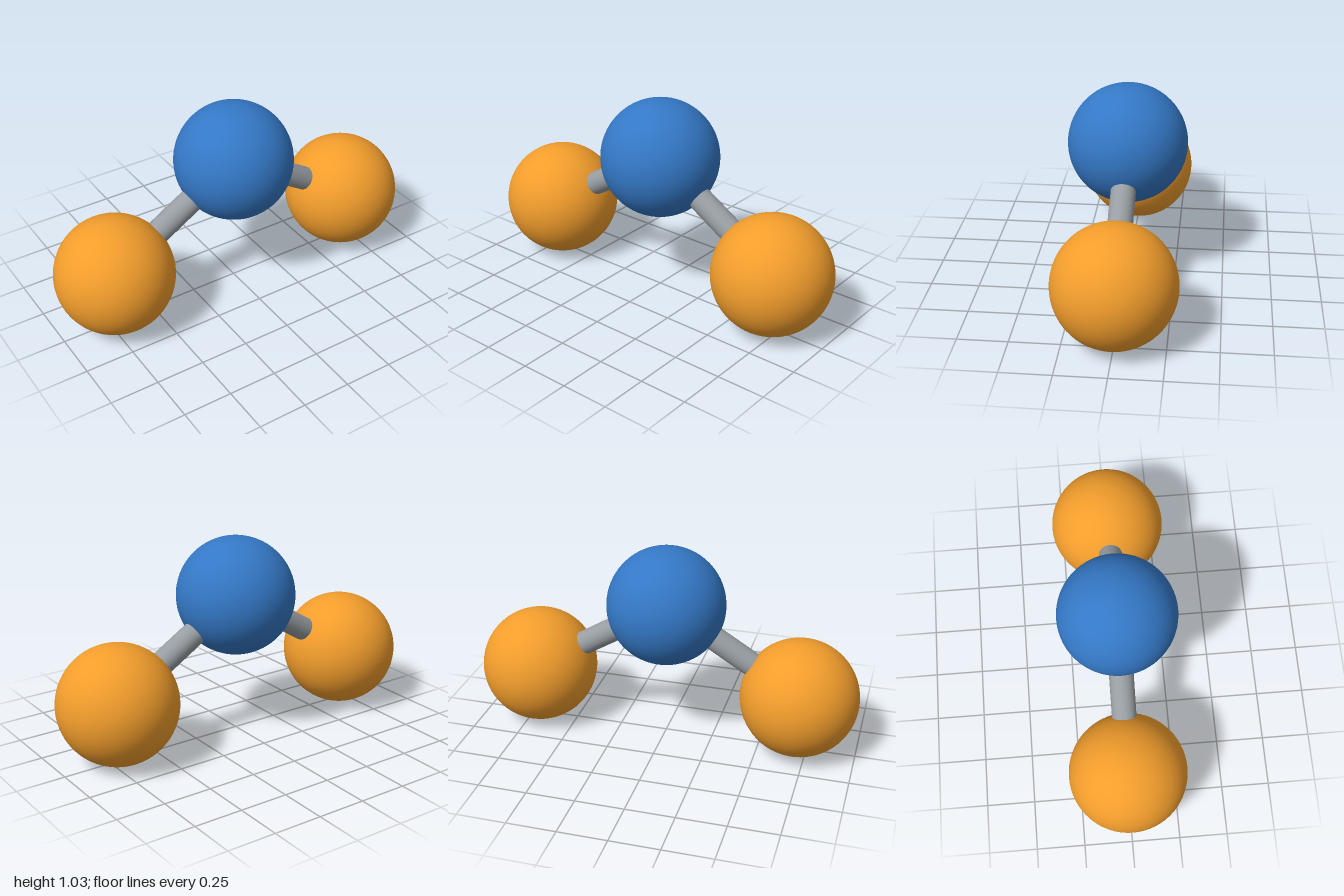
import * as THREE from 'three';

const RADIUS = 0.302;
const ROD_RADIUS = 0.062;

export function createModel() {
  const model = new THREE.Group();
  model.name = 'ballAndRodModel';

  const blue = new THREE.MeshStandardMaterial({ color: 0x3478c6 });
  const orange = new THREE.MeshStandardMaterial({ color: 0xf29d2c });
  const grey = new THREE.MeshStandardMaterial({ color: 0x979da2 });
  const ballGeometry = new THREE.SphereGeometry(RADIUS, 64, 48);

  function addBall(name, position, material) {
    const ball = new THREE.Mesh(ballGeometry, material);
    ball.name = name;
    ball.position.copy(position);
    model.add(ball);
  }

  // Rod running between two ball centres
  function addRod(name, from, to) {
    const direction = to.clone().sub(from);
    const geometry = new THREE.CylinderGeometry(ROD_RADIUS, ROD_RADIUS, direction.length(), 32);
    const rod = new THREE.Mesh(geometry, grey);
    rod.name = name;
    rod.position.copy(from).add(to).multiplyScalar(0.5);
    rod.quaternion.setFromUnitVectors(new THREE.Vector3(0, 1, 0), direction.normalize());
    model.add(rod);
  }

  // Raised centre ball
  const centre = new THREE.Vector3(0, 0.729, 0);
  addBall('centreBall', centre, blue);

  // Mirrored outer balls, each joined to the centre
  for (const [side, sign] of [['left', 1], ['right', -1]]) {
    const outer = new THREE.Vector3(sign * (1 - RADIUS), RADIUS, 0);
    addBall(side + 'Ball', outer, orange);
    addRod(side + 'Rod', outer, centre);
  }

  return model;
}
